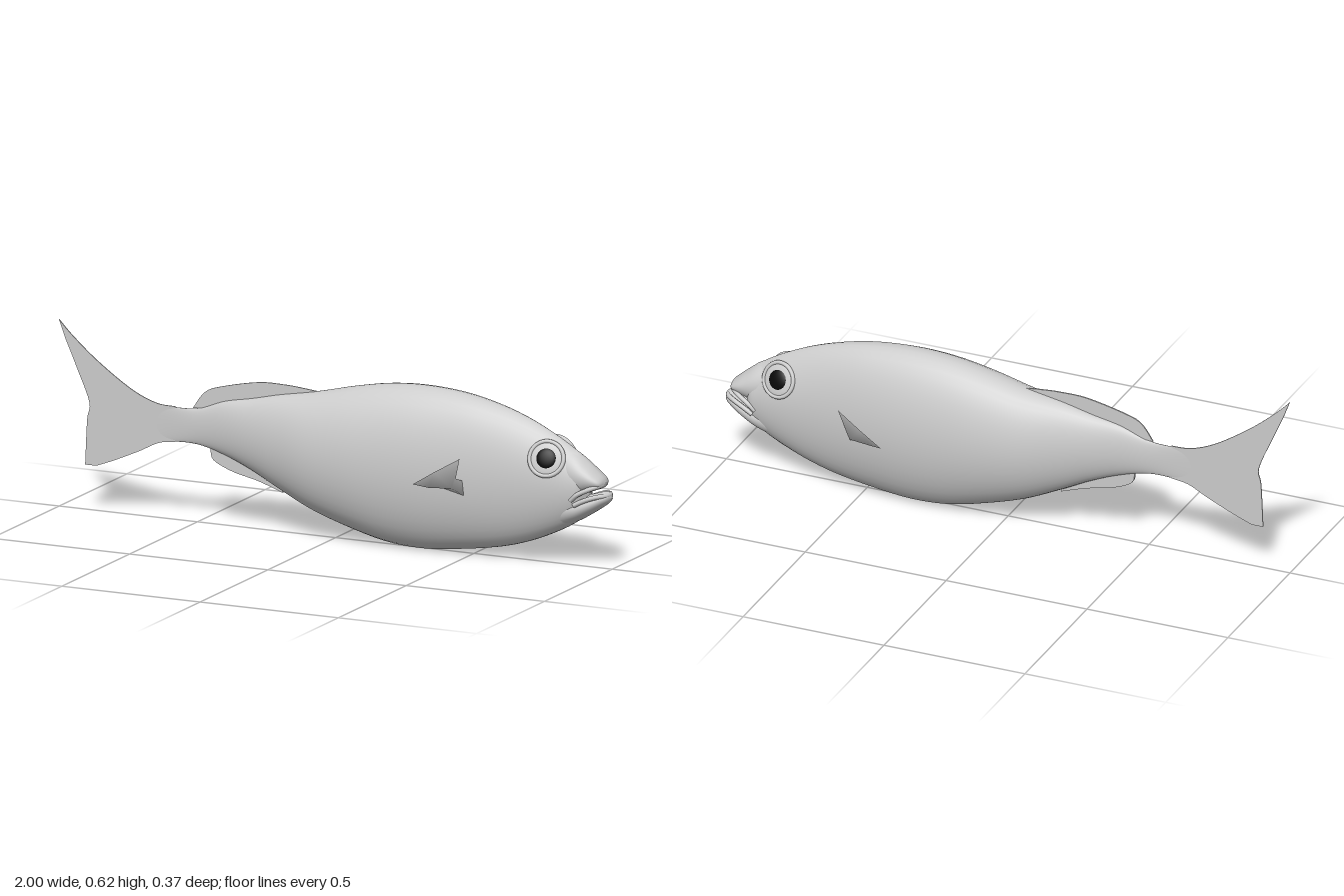
import * as THREE from 'three';

const grey = new THREE.MeshStandardMaterial({ color: 0xcccccc });
const thin = new THREE.MeshStandardMaterial({ color: 0xcccccc, side: THREE.DoubleSide });
const black = new THREE.MeshStandardMaterial({ color: 0x080808 });

function part(name, geometry, material = grey) {
  const mesh = new THREE.Mesh(geometry, material);
  mesh.name = name;
  return mesh;
}

// Surface through a grid of vertices; "closed" joins each row into a ring.
function gridSurface(rows, closed) {
  const n = rows[0].length, pos = rows.flat(2), idx = [];
  for (let i = 0; i < rows.length - 1; i++) {
    for (let j = 0; j < (closed ? n : n - 1); j++) {
      const k = (j + 1) % n, a = i * n, b = a + n;
      idx.push(a + j, b + j, a + k, b + j, b + k, a + k);
    }
  }
  const g = new THREE.BufferGeometry();
  g.setAttribute('position', new THREE.Float32BufferAttribute(pos, 3));
  g.setIndex(idx);
  g.computeVertexNormals();
  return g;
}

// Smooth loft along x through oval stations [x, top, bottom, halfWidth].
function loft(stations, steps, sides = 40) {
  const spline = f => new THREE.CatmullRomCurve3(stations.map(f), false, 'catmullrom');
  const outline = spline(s => new THREE.Vector3(s[0], s[1], s[2]));
  const widths = spline(s => new THREE.Vector3(s[3], 0, 0));
  const rows = [];
  for (let i = 0; i <= steps; i++) {
    const p = outline.getPoint(i / steps), w = widths.getPoint(i / steps).x;
    // the brow grows narrower towards the head
    const power = 1 + 0.3 * THREE.MathUtils.smoothstep(p.x, 0.5, 0.8);
    const ring = [];
    for (let j = 0; j < sides; j++) {
      const a = j / sides * Math.PI * 2, c = Math.cos(a), s = Math.sin(a);
      const z = s > 0 ? Math.sign(c) * Math.abs(c) ** power : c;
      ring.push([p.x, (p.y + p.z) / 2 + (p.y - p.z) / 2 * s, w * z]);
    }
    rows.push(ring);
  }
  return gridSurface(rows, true);
}

// Thin flat fin in the middle plane; each edge is a smooth run of points.
function flatFin(edges, depth) {
  const pts = edges.flatMap(e =>
    new THREE.SplineCurve(e.map(p => new THREE.Vector2(...p))).getPoints(e.length * 4));
  const g = new THREE.ExtrudeGeometry(new THREE.Shape(pts), { depth, bevelEnabled: false });
  return g.translate(0, 0, -depth / 2);
}

function lip(points, radius) {
  const all = [...points, ...points.slice(0, -1).reverse().map(([x, y, z]) => [x, y, -z])];
  const curve = new THREE.CatmullRomCurve3(all.map(p => new THREE.Vector3(...p)));
  return new THREE.TubeGeometry(curve, 40, radius, 8);
}

// Eye and pectoral fin of the +z side
function sideParts(name) {
  const side = new THREE.Group();
  side.name = name;

  const eye = new THREE.Group();
  eye.name = 'eye';
  const ball = part('eyeball', new THREE.SphereGeometry(0.056, 32, 16));
  ball.scale.z = 0.15;
  const pupil = part('pupil', new THREE.SphereGeometry(0.035, 32, 16), black);
  pupil.scale.z = 0.3;
  pupil.position.z = 0.003;
  const rim = part('eyeRim', new THREE.TorusGeometry(0.057, 0.007, 10, 40));
  eye.add(ball, pupil, rim);
  eye.position.set(0.79, 0.36, 0.056);
  eye.lookAt(0.79 + 0.2, 0.36 + 0.33, 0.056 + 0.92);
  side.add(eye);

  // cupped fin: root, middle and outer edge
  side.add(part('pectoralFin', gridSurface([
    [[0.51, 0.265, 0.1], [0.515, 0.215, 0.1], [0.43, 0.235, 0.105]],
    [[0.51, 0.285, 0.155], [0.495, 0.25, 0.155], [0.415, 0.245, 0.16]],
    [[0.53, 0.355, 0.168], [0.445, 0.305, 0.182], [0.37, 0.258, 0.187]],
  ], false), thin));
  return side;
}

export function createModel() {
  const fish = new THREE.Group();
  fish.name = 'fish';

  fish.add(part('body', loft([
    [-0.68, 0.37, 0.255, 0.001], [-0.6, 0.375, 0.26, 0.004], [-0.5, 0.38, 0.26, 0.012],
    [-0.4, 0.415, 0.235, 0.03], [-0.3, 0.435, 0.195, 0.052], [-0.2, 0.458, 0.145, 0.077],
    [-0.07, 0.482, 0.085, 0.11], [0.07, 0.515, 0.04, 0.127], [0.2, 0.538, 0.009, 0.13],
    [0.33, 0.545, 0.001, 0.126], [0.47, 0.535, 0.014, 0.113], [0.6, 0.508, 0.035, 0.097],
    [0.7, 0.475, 0.063, 0.084], [0.79, 0.433, 0.1, 0.073], [0.86, 0.392, 0.137, 0.063],
    [0.9, 0.36, 0.17, 0.052], [0.92, 0.28, 0.22, 0.015], [0.921, 0.251, 0.249, 0.001],
  ], 100)));

  // Head ends in a snout over a jutting lower jaw
  fish.add(part('snout', loft([
    [0.82, 0.405, 0.22, 0.05], [0.88, 0.378, 0.235, 0.056], [0.92, 0.348, 0.25, 0.053],
    [0.95, 0.322, 0.262, 0.046], [0.97, 0.303, 0.27, 0.034], [0.978, 0.288, 0.282, 0.004],
  ], 30)));
  fish.add(part('lowerJaw', loft([
    [0.82, 0.24, 0.125, 0.05], [0.88, 0.235, 0.15, 0.054], [0.93, 0.245, 0.179, 0.049],
    [0.97, 0.257, 0.206, 0.039], [0.99, 0.256, 0.222, 0.026], [0.999, 0.243, 0.237, 0.004],
  ], 30)));
  fish.add(part('upperLip', lip([
    [0.875, 0.228, 0.054], [0.9, 0.25, 0.056], [0.94, 0.27, 0.044], [0.965, 0.279, 0.025], [0.969, 0.281, 0],
  ], 0.008)));
  fish.add(part('lowerLip', lip([
    [0.885, 0.212, 0.052], [0.92, 0.23, 0.049], [0.96, 0.244, 0.038], [0.984, 0.247, 0.02], [0.99, 0.247, 0],
  ], 0.008)));

  fish.add(part('tailFin', flatFin([
    [[-0.58, 0.378], [-0.65, 0.383], [-0.74, 0.42], [-0.86, 0.5], [-0.95, 0.575], [-1, 0.625]],
    [[-0.975, 0.56], [-0.935, 0.47], [-0.89, 0.36], [-0.898, 0.3], [-0.905, 0.15]],
    [[-0.865, 0.15], [-0.8, 0.175], [-0.71, 0.215], [-0.64, 0.25], [-0.58, 0.26]],
  ], 0.004)));

  fish.add(part('dorsalFin', flatFin([
    [[-0.06, 0.482], [-0.12, 0.488], [-0.18, 0.492], [-0.28, 0.49], [-0.42, 0.46], [-0.475, 0.435], [-0.515, 0.38]],
    [[-0.4, 0.39], [-0.2, 0.43], [-0.06, 0.465]],
  ], 0.005)));

  fish.add(part('analFin', flatFin([
    [[-0.45, 0.255], [-0.44, 0.215], [-0.37, 0.183], [-0.28, 0.162], [-0.19, 0.132]],
    [[-0.19, 0.16], [-0.3, 0.22], [-0.42, 0.265]],
  ], 0.01)));

  const left = sideParts('nearSide'), right = sideParts('farSide');
  right.scale.z = -1;
  fish.add(left, right);
  return fish;
}
